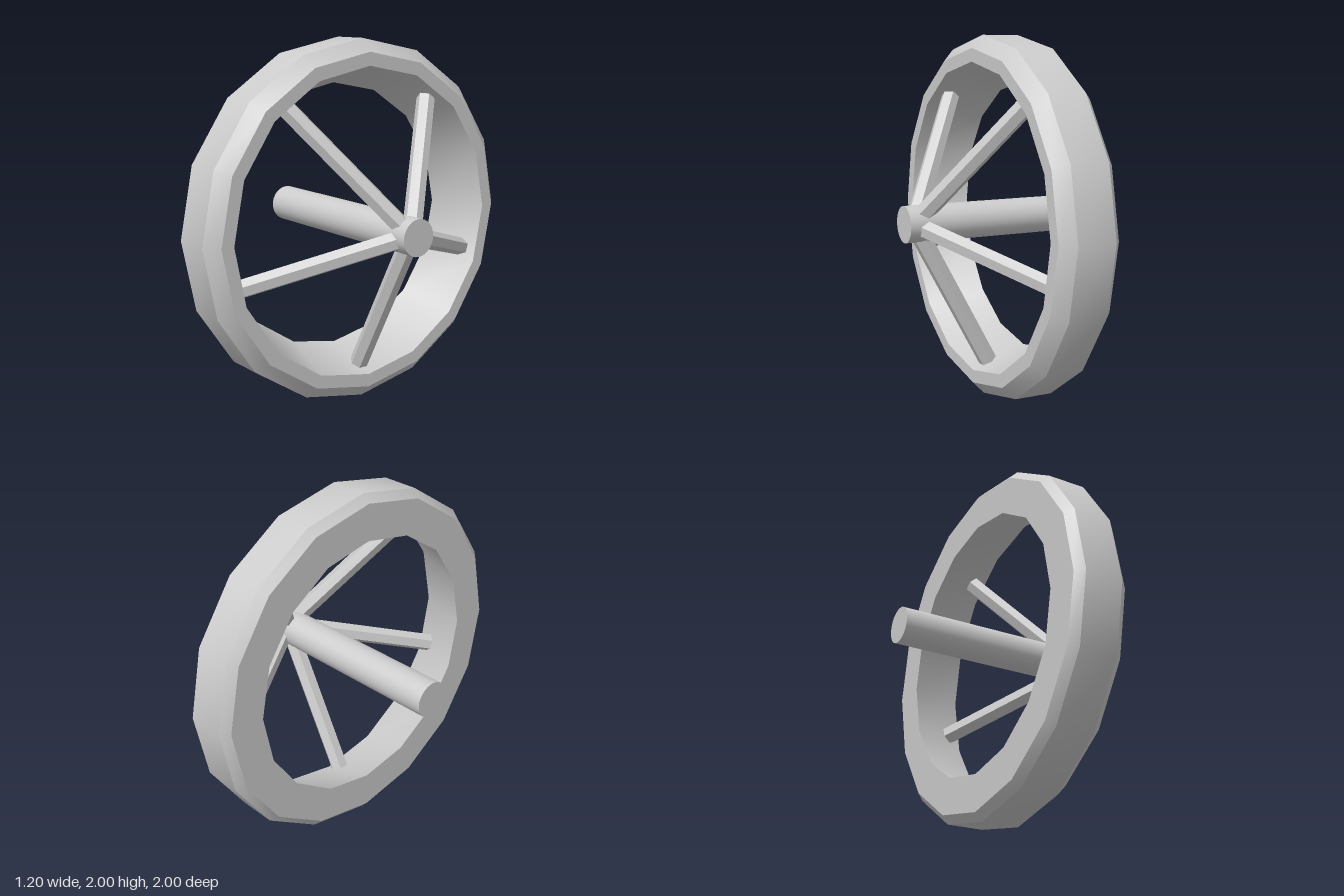
import * as THREE from 'three';
import { toCreasedNormals } from 'three/addons/utils/BufferGeometryUtils.js';

export function createModel() {
  const model = new THREE.Group();
  const material = new THREE.MeshStandardMaterial({ color: 0xcccccc });
  const flat = new THREE.MeshStandardMaterial({ color: 0xcccccc, flatShading: true });

  // Wheel built around the origin with its axis along x, then raised
  const wheel = new THREE.Group();
  wheel.name = 'wheel';
  wheel.position.y = 1;
  model.add(wheel);

  // Rim: bevelled closed section (radius, axial) with a tapered bore
  const section = [
    [0.75, -0.127], [0.955, -0.127], [1, -0.085], [1, 0.13],
    [0.93, 0.197], [0.857, 0.197], [0.75, -0.127],
  ].map(([r, a]) => new THREE.Vector2(r, a));
  const rimGeometry = toCreasedNormals(new THREE.LatheGeometry(section, 16), 0.6);
  rimGeometry.rotateZ(-Math.PI / 2);
  const rim = new THREE.Mesh(rimGeometry, material);
  rim.name = 'rim';
  wheel.add(rim);

  // Axle
  const axleGeometry = new THREE.CylinderGeometry(0.1, 0.1, 1.2, 32);
  axleGeometry.rotateZ(-Math.PI / 2);
  const axle = new THREE.Mesh(axleGeometry, material);
  axle.name = 'axle';
  wheel.add(axle);

  // Five hexagonal spokes slanting from the axle end to the rim bore
  const hub = new THREE.Vector2(0.543, 0);
  const tip = new THREE.Vector2(0.106, 0.809);
  const run = tip.clone().sub(hub);
  const spokeGeometry = new THREE.CylinderGeometry(0.052, 0.052, run.length(), 6);
  spokeGeometry.rotateZ(Math.atan2(-run.x, run.y));
  spokeGeometry.translate((hub.x + tip.x) / 2, (hub.y + tip.y) / 2, 0);
  for (let i = 0; i < 5; i++) {
    const spoke = new THREE.Mesh(spokeGeometry, flat);
    spoke.name = 'spoke' + (i + 1);
    spoke.rotation.x = Math.PI + (i * Math.PI * 2) / 5;
    wheel.add(spoke);
  }

  return model;
}
